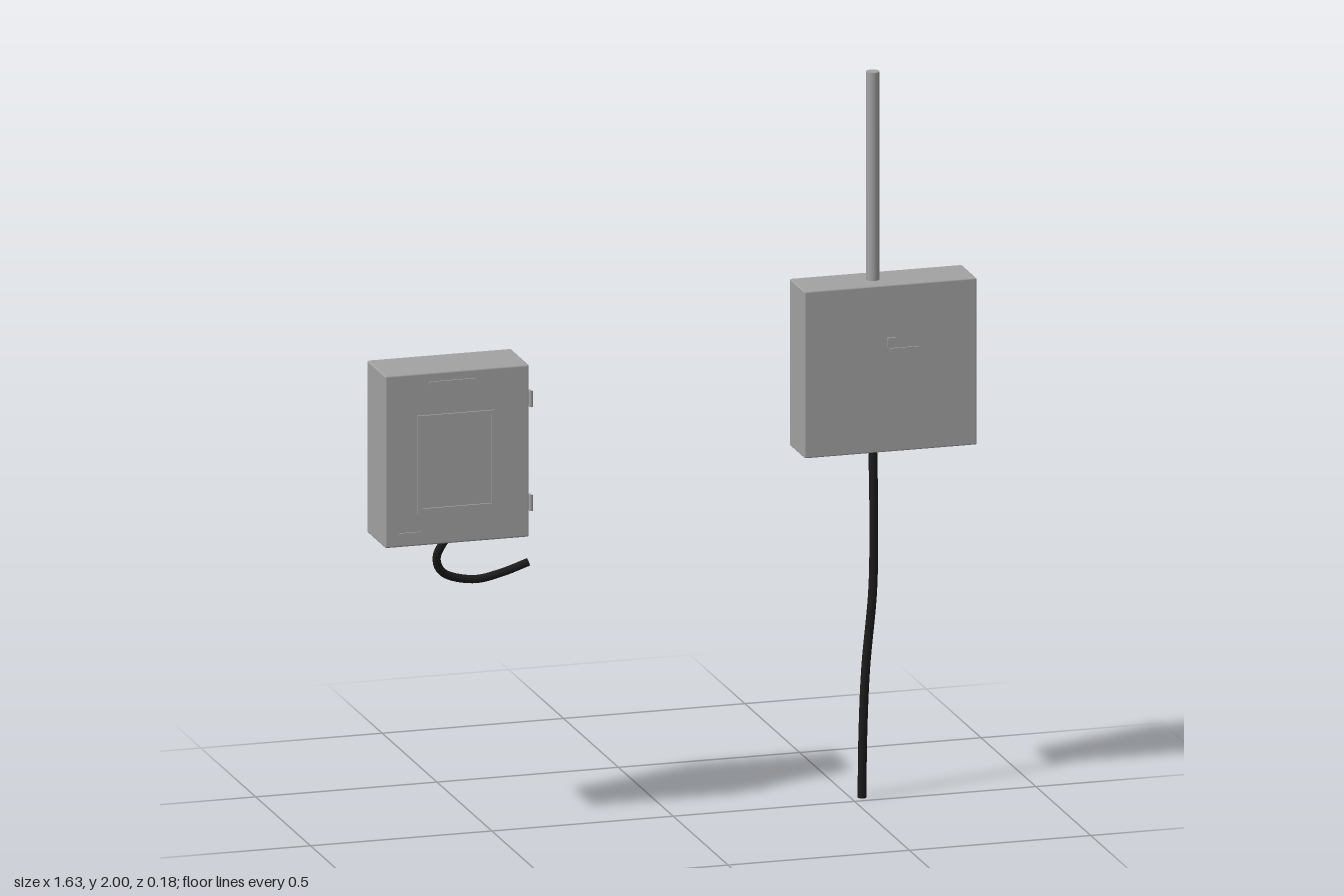
import * as THREE from 'three';
import { RoundedBoxGeometry } from 'three/addons/geometries/RoundedBoxGeometry.js';

export function createModel() {
  const grey = new THREE.MeshStandardMaterial({ color: 0xa2a2a2 });
  grey.name = 'grey metal';
  const black = new THREE.MeshStandardMaterial({ color: 0x1c1c1c });
  black.name = 'black rubber';
  const root = new THREE.Group();
  root.name = 'wiredBoxes';

  const group = (name) => {
    const g = new THREE.Group();
    g.name = name;
    root.add(g);
    return g;
  };
  const add = (parent, name, geometry, material = grey) => {
    const m = new THREE.Mesh(geometry, material);
    m.name = name;
    parent.add(m);
    return m;
  };
  // Box given by its lowest and highest corners
  const block = (parent, name, [x0, y0, z0], [x1, y1, z1], round = 0) => {
    const size = [x1 - x0, y1 - y0, z1 - z0];
    const geo = round ? new RoundedBoxGeometry(...size, 2, round) : new THREE.BoxGeometry(...size);
    const m = add(parent, name, geo);
    m.position.set((x0 + x1) / 2, (y0 + y1) / 2, (z0 + z1) / 2);
    return m;
  };
  // Round cable through points, closed with a disc at each end
  const cable = (parent, name, points, r) => {
    const curve = new THREE.CatmullRomCurve3(points.map((p) => new THREE.Vector3(...p)));
    add(parent, name, new THREE.TubeGeometry(curve, 40, r, 12), black);
    for (const t of [0, 1]) {
      const disc = add(parent, name + 'End', new THREE.CircleGeometry(r, 12), black);
      const out = curve.getTangent(t).multiplyScalar(t ? 1 : -1);
      disc.position.copy(curve.getPoint(t));
      disc.quaternion.setFromUnitVectors(new THREE.Vector3(0, 0, 1), out);
    }
  };

  // Cabinet with a framed door panel
  const cabinet = group('cabinet');
  const front = 0.076;
  block(cabinet, 'cabinetBody', [-0.817, 0.82, -0.09], [-0.42, 1.292, front], 0.005);

  const rect = (shape, x0, y0, x1, y1) =>
    shape.moveTo(x0, y0).lineTo(x1, y0).lineTo(x1, y1).lineTo(x0, y1).closePath();
  const frame = rect(new THREE.Shape(), -0.728, 0.908, -0.516, 1.177);
  frame.holes.push(rect(new THREE.Path(), -0.716, 0.922, -0.526, 1.167));
  const frameMesh = add(cabinet, 'panelFrame',
    new THREE.ExtrudeGeometry(frame, { depth: 0.005, bevelEnabled: false }));
  frameMesh.position.z = front;

  block(cabinet, 'topStrip', [-0.695, 1.261, front - 0.002], [-0.565, 1.268, front + 0.004]);
  block(cabinet, 'lowerStrip', [-0.78, 0.853, front - 0.002], [-0.72, 0.859, front + 0.004]);

  // Hinges on the left side
  for (const y of [1.2, 0.915]) {
    block(cabinet, 'hingeLeaf', [-0.422, y - 0.02, 0.06], [-0.414, y + 0.02, 0.084]);
    const pin = add(cabinet, 'hingePin', new THREE.CylinderGeometry(0.005, 0.005, 0.044, 10));
    pin.position.set(-0.417, y, 0.082);
  }
  cable(cabinet, 'cabinetCable', [
    [-0.615, 0.83, 0.0], [-0.643, 0.755, -0.03], [-0.62, 0.705, -0.05],
    [-0.53, 0.676, -0.063], [-0.45, 0.688, -0.066], [-0.38, 0.71, -0.066],
  ], 0.011);

  // Square box hanging from a pole
  const hanging = group('hangingBox');
  block(hanging, 'hangingBody', [0.339, 0.973, -0.06], [0.814, 1.43, 0.077], 0.004);
  const pole = add(hanging, 'pole', new THREE.CylinderGeometry(0.018, 0.018, 0.58, 24));
  pole.position.set(0.547, 1.71, 0.01);

  // Small plain raised plates on the front
  block(hanging, 'frontTab', [0.566, 1.262, 0.075], [0.588, 1.286, 0.083]);
  block(hanging, 'frontStrip', [0.575, 1.25, 0.075], [0.655, 1.257, 0.081]);

  cable(hanging, 'hangingCable', [
    [0.547, 0.975, 0.01], [0.55, 0.78, 0.01], [0.548, 0.58, 0.007],
    [0.533, 0.36, -0.008], [0.529, 0.18, -0.02], [0.53, 0.001, -0.032],
  ], 0.012);

  return root;
}
